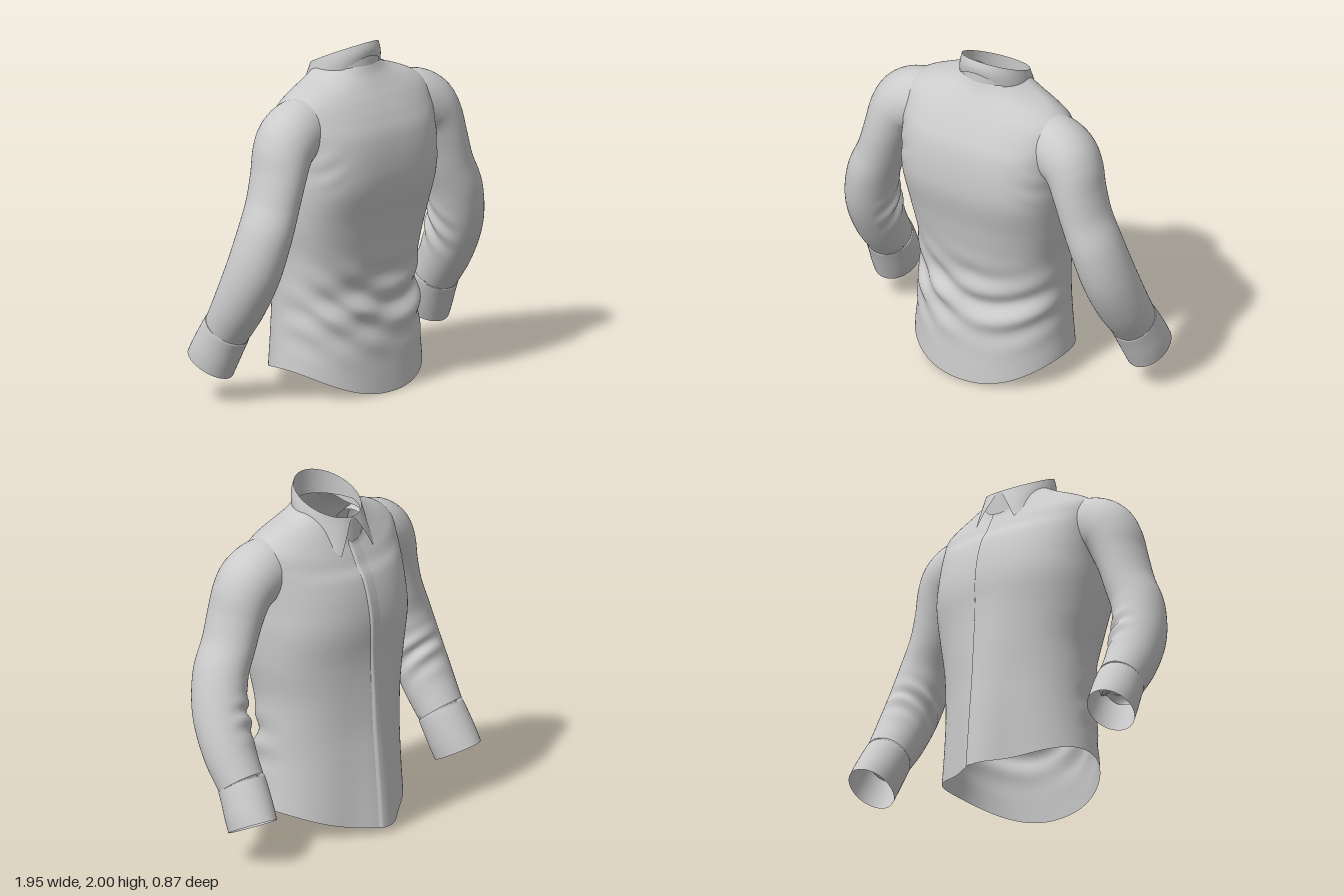
import * as THREE from 'three';

const cloth = new THREE.MeshStandardMaterial({ color: 0xcccccc, side: THREE.DoubleSide });

// Smooth surface from a point rule: u runs around (0..1), v runs along (0..1).
function surface(name, nu, nv, closed, rule) {
  const pos = [], index = [], cols = closed ? nu : nu + 1;
  for (let j = 0; j <= nv; j++)
    for (let i = 0; i < cols; i++) pos.push(...rule(i / nu, j / nv).toArray());
  for (let j = 0; j < nv; j++)
    for (let i = 0; i < nu; i++) {
      const a = j * cols + i, b = j * cols + (i + 1) % cols;
      index.push(a, b, b + cols, a, b + cols, a + cols);
    }
  const g = new THREE.BufferGeometry();
  g.setAttribute('position', new THREE.Float32BufferAttribute(pos, 3));
  g.setIndex(index);
  g.computeVertexNormals();
  const mesh = new THREE.Mesh(g, cloth);
  mesh.name = name;
  return mesh;
}

// Catmull-Rom blend of every column of a table of sections.
function sample(table, v) {
  const f = v * (table.length - 1), i = Math.min(Math.floor(f), table.length - 2), t = f - i;
  const row = k => table[Math.max(0, Math.min(table.length - 1, k))];
  return table[0].map((_, c) => {
    const [p, q, r, s] = [row(i - 1)[c], row(i)[c], row(i + 1)[c], row(i + 2)[c]];
    return q + 0.5 * t * (r - p + t * (2 * p - 5 * q + 4 * r - s + t * (3 * (q - r) + s - p)));
  });
}

const bump = (x, centre, width) => Math.exp(-(((x - centre) / width) ** 2));
const power = (x, e) => Math.sign(x) * Math.abs(x) ** e;
// Height around a ring: separate values at the side, the back (+z) and the front (-z).
const ringY = (c, side, back, front) => side + c * c * ((c > 0 ? back : front) - side);

// Torso sections: side y, back y, front y, half width, back z, front z, centre z, back and front squareness
const TORSO = [
  [0.15, 0.00, 0.035, 0.475, 0.385, -0.355, 0.02, 2.2, 2],
  [0.30, 0.25, 0.25, 0.46, 0.365, -0.35, 0.02, 2.3, 2],
  [0.45, 0.45, 0.45, 0.45, 0.345, -0.345, 0.02, 2.4, 2],
  [0.60, 0.60, 0.60, 0.45, 0.32, -0.34, 0.02, 2.4, 2],
  [0.80, 0.80, 0.80, 0.455, 0.345, -0.34, 0.03, 2.5, 2.1],
  [1.00, 1.00, 1.00, 0.485, 0.38, -0.34, 0.04, 2.7, 2.2],
  [1.20, 1.20, 1.20, 0.50, 0.425, -0.345, 0.05, 3, 2.4],
  [1.35, 1.35, 1.35, 0.50, 0.43, -0.325, 0.06, 3, 2.4],
  [1.50, 1.50, 1.48, 0.505, 0.41, -0.285, 0.07, 2.8, 2.3],
  [1.60, 1.60, 1.55, 0.515, 0.37, -0.24, 0.08, 2.5, 2.2],
  [1.69, 1.69, 1.60, 0.505, 0.32, -0.215, 0.09, 2.2, 2.1],
  [1.755, 1.75, 1.63, 0.42, 0.28, -0.2, 0.07, 2.1, 2],
  [1.81, 1.82, 1.66, 0.28, 0.235, -0.185, 0.03, 2, 2],
  [1.85, 1.87, 1.68, 0.2, 0.213, -0.18, 0.02, 2, 2],
];

function torsoPoint(angle, v, lift = 0) {
  const [side, back, front, w, zb, zf, zc, nb, nf] = sample(TORSO, v);
  const s = Math.sin(angle), c = Math.cos(angle), e = 2 / (c > 0 ? nb : nf);
  const y = ringY(c, side, back, front);
  const x = w * power(s, e);
  // draped folds across the lower back, pull lines behind the armholes, flared fold at the centre front hem
  const drape = 0.013 * bump(y, 0.5, 0.2) * Math.max(0, c + 0.2) *
    (Math.sin(34 * (y - 1.1 * (x - 0.06) ** 2) + 5 * x) + 0.5 * Math.sin(25 * y - 9 * x));
  const pull = 0.006 * bump(Math.abs(x), 0.45, 0.08) * bump(y, 1.36, 0.11) * Math.max(0, c)
    * Math.sin(45 * y + 30 * Math.abs(x));
  const flare = 0.08 * Math.max(0, 1 - y / 1.1) * bump(x, -0.02, 0.14) * Math.max(0, -c);
  const out = drape + pull + flare + lift;
  return new THREE.Vector3(-0.03 + x + s * out, y, zc + (c > 0 ? zb - zc : zc - zf) * power(c, e) + c * out);
}

// Front overlap: a raised edge right of centre that melts into the panel beside it
function bandPoint(u, v) {
  const section = sample(TORSO, v);
  const x = THREE.MathUtils.lerp(0.045, -0.06, u) / section[3];
  const lift = u === 0 ? -0.004 : 0.011 - 0.013 * u;
  return torsoPoint(Math.PI - Math.asin(power(x, section[8] / 2)), v, lift);
}

// Sleeve sections: centre x, y, z, radius across, radius front to back
const SLEEVE = [
  [0.29, 1.55, 0.09, 0.17, 0.15],
  [0.435, 1.55, 0.1, 0.188, 0.172],
  [0.535, 1.515, 0.112, 0.182, 0.18],
  [0.595, 1.445, 0.122, 0.16, 0.178],
  [0.64, 1.32, 0.133, 0.14, 0.173],
  [0.69, 1.165, 0.137, 0.135, 0.167],
  [0.755, 1.00, 0.135, 0.143, 0.167],
  [0.80, 0.80, 0.09, 0.148, 0.165],
  [0.82, 0.60, 0.0, 0.147, 0.152],
  [0.825, 0.43, -0.105, 0.132, 0.135],
];
const CUFF = [
  [0.825, 0.435, -0.1, 0.13, 0.133],
  [0.825, 0.43, -0.105, 0.136, 0.14],
  [0.833, 0.36, -0.143, 0.136, 0.145],
  [0.843, 0.28, -0.183, 0.134, 0.15],
  [0.85, 0.215, -0.215, 0.127, 0.153],
];

function limbPoint(table, side, u, v, folds) {
  const [x, y, z, rw, rd] = sample(table, v);
  const a = sample(table, Math.max(0, v - 0.01)), b = sample(table, Math.min(1, v + 0.01));
  const along = new THREE.Vector3(b[0] - a[0], b[1] - a[1], b[2] - a[2]).normalize();
  const depth = new THREE.Vector3(0, 0, 1).addScaledVector(along, -along.z).normalize();
  const across = new THREE.Vector3().crossVectors(depth, along);
  const t = u * Math.PI * 2, s = Math.sin(t), c = Math.cos(t);
  // slanting creases on the inside of the elbow (towards the body and the front)
  const inner = Math.max(0, -0.6 * c - 0.8 * s * Math.sign(across.x));
  const crease = folds * 0.014 * bump(y, 0.76, 0.11) * inner * Math.sin(50 * y + 4 * c);
  const p = new THREE.Vector3(x, y, z)
    .addScaledVector(across, s * (rw + crease)).addScaledVector(depth, c * (rd + crease));
  p.x = side * p.x - 0.028 * Math.min(1, Math.max(0, y) / 1.2);
  return p;
}

// Collar rings, tilted down towards the front
const collarTop = a => new THREE.Vector3(-0.03 + 0.192 * Math.sin(a),
  1.91 + 0.09 * Math.cos(a), 0.02 + 0.19 * Math.cos(a));
const collarFoot = a => new THREE.Vector3(-0.03 + 0.195 * Math.sin(a),
  ringY(Math.cos(a), 1.83, 1.85, 1.67), 0.02 + 0.195 * Math.cos(a));

// Turned-down leaf: its lower edge stops short of the centre front and drops into two points.
function collarLeaf(u, v) {
  const k = 2 * u - 1;
  const top = collarTop(k * Math.PI * 0.985), a = k * Math.PI * 0.82, c = Math.cos(a);
  const tip = bump(Math.abs(k), 1, 0.16);
  const low = new THREE.Vector3(-0.03 + 0.205 * Math.sin(a) + 0.02 * tip * Math.sign(k),
    ringY(c, 1.79, 1.92, 1.67) - 0.085 * tip, 0.015 + 0.205 * c - 0.05 * tip);
  const p = top.lerp(low, v);
  const puff = 0.008 * Math.sin(v * Math.PI);
  p.x += puff * Math.sin(a);
  p.z += puff * c;
  return p;
}

export function createModel() {
  const shirt = new THREE.Group();
  shirt.name = 'shirt';

  shirt.add(surface('torso', 160, 110, true, (u, v) => torsoPoint(u * Math.PI * 2, v)));
  shirt.add(surface('frontOverlap', 8, 90, false, bandPoint));

  shirt.add(surface('collarStand', 64, 6, true, (u, v) =>
    collarFoot(u * Math.PI * 2).lerp(collarTop(u * Math.PI * 2), v)));
  shirt.add(surface('collarLeaf', 96, 8, false, collarLeaf));

  for (const [side, label] of [[1, 'left'], [-1, 'right']]) {
    shirt.add(surface(label + 'Sleeve', 48, 100, true, (u, v) => limbPoint(SLEEVE, side, u, v, 1)));
    shirt.add(surface(label + 'Cuff', 48, 16, true, (u, v) => limbPoint(CUFF, side, u, v, 0)));
  }
  return shirt;
}
